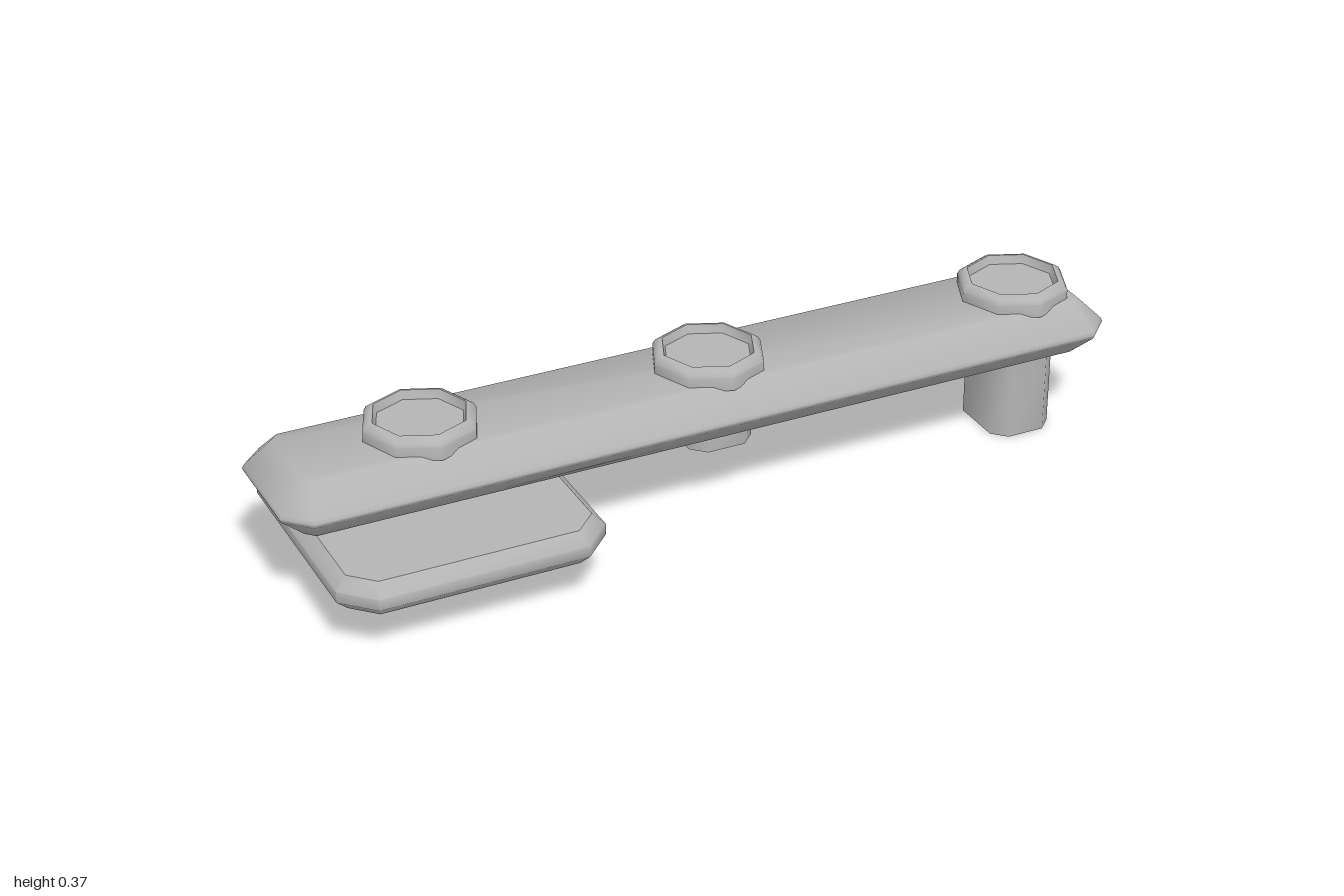
import * as THREE from 'three';
import { toCreasedNormals } from 'three/addons/utils/BufferGeometryUtils.js';

const CREASE = THREE.MathUtils.degToRad(50);
const MID_Z = -0.032;

// Rectangle with cut corners, counter-clockwise seen from above
function cutRect(hx, hz, cut) {
  return [
    [hx, hz - cut], [hx, cut - hz], [hx - cut, -hz], [cut - hx, -hz],
    [-hx, cut - hz], [-hx, hz - cut], [cut - hx, hz], [hx - cut, hz],
  ];
}

// Stack of cut-corner sections; layers are [y, inset]. Returns a closed solid.
function slab(hx, hz, cut, layers, softCaps) {
  const rings = layers.map(([y, inset]) =>
    cutRect(hx - inset, hz - inset, cut - inset * 0.586).map(([x, z]) => [x, y, z]));
  const walls = [], caps = [];
  for (let r = 0; r < rings.length - 1; r++) {
    for (let i = 0; i < 8; i++) {
      const j = (i + 1) % 8, a = rings[r][i], b = rings[r][j];
      const c = rings[r + 1][j], d = rings[r + 1][i];
      walls.push(a, b, c, a, c, d);
    }
  }
  const bottom = rings[0], top = rings[rings.length - 1];
  for (let i = 1; i < 7; i++) {
    caps.push(top[0], top[i], top[i + 1], bottom[0], bottom[i + 1], bottom[i]);
  }
  const build = (pts, smooth) => {
    const g = new THREE.BufferGeometry();
    g.setAttribute('position', new THREE.Float32BufferAttribute(pts.flat(), 3));
    g.computeVertexNormals();
    return smooth ? toCreasedNormals(g, CREASE) : g;
  };
  return softCaps ? [build([...walls, ...caps], true)] : [build(walls, true), build(caps, false)];
}

export function createModel() {
  const model = new THREE.Group();
  const steel = new THREE.MeshStandardMaterial({ color: 0xb4b4b4 });
  steel.name = 'grey steel';

  function add(name, geometries, x, z) {
    const part = new THREE.Group();
    part.name = name;
    for (const g of geometries) part.add(new THREE.Mesh(g, steel));
    part.position.set(x, 0, z);
    model.add(part);
  }

  // Long bar with bevelled edges meeting in a narrow rim
  add('bar', slab(1, 0.172, 0.055,
    [[0.2, 0.06], [0.255, 0.004], [0.264, 0], [0.273, 0.004], [0.33, 0.06]], true), 0, MID_Z);

  // Broad pad under one end
  add('pad', slab(0.304, 0.313, 0.068,
    [[0.11, 0.027], [0.137, 0], [0.163, 0], [0.19, 0.027]], false), -0.638, 0);

  // Pegs under the bar and dished caps above it
  const capProfile = [
    [0.13, 0.32], [0.13, 0.352], [0.124, 0.362], [0.112, 0.37],
    [0.107, 0.37], [0.1, 0.35], [0, 0.35],
  ].map(([r, y]) => new THREE.Vector2(r, y));
  const pegs = [
    ['padPeg', -0.638, 0.15], ['middlePeg', 0.044, 0.157], ['longPeg', 0.824, 0],
  ];
  for (const [name, x, y] of pegs) {
    add(name, slab(0.077, 0.094, 0.032, [[y, 0], [0.23, 0]], false), x, MID_Z);
    add(name + 'Cap', [toCreasedNormals(new THREE.LatheGeometry(capProfile, 8), CREASE)], x, MID_Z);
  }
  return model;
}
